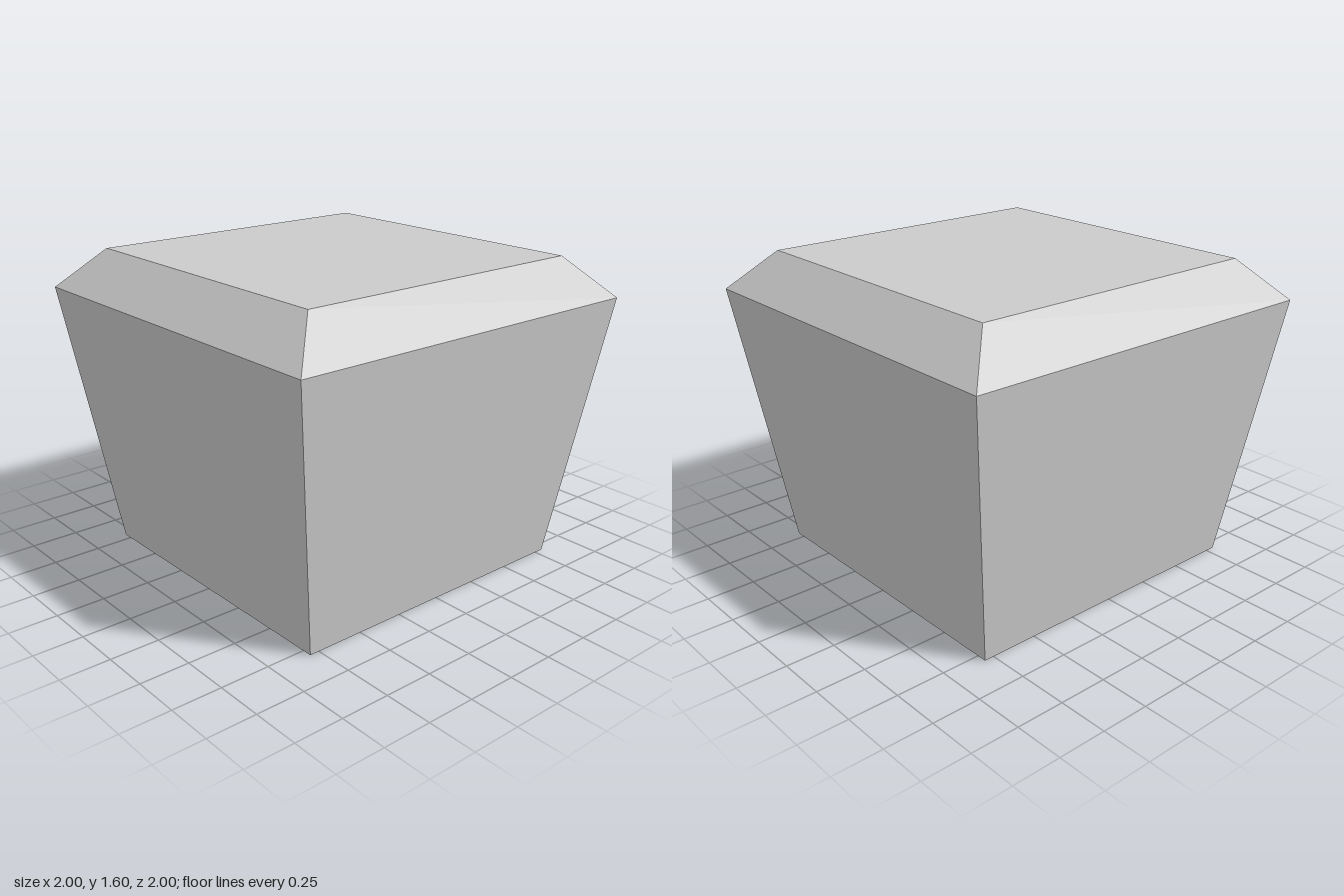
import * as THREE from 'three';

const material = new THREE.MeshStandardMaterial({ color: 0xcccccc, flatShading: true });

// Square-section solid from a profile of [half width, height] pairs, bottom to top
function squareTurned(name, profile) {
  const points = profile.map(([half, y]) => new THREE.Vector2(half * Math.SQRT2, y));
  const geometry = new THREE.LatheGeometry(points, 4, Math.PI / 4).toNonIndexed();
  geometry.computeVertexNormals();
  const mesh = new THREE.Mesh(geometry, material);
  mesh.name = name;
  return mesh;
}

export function createModel() {
  const model = new THREE.Group();
  model.name = 'taperedBlock';

  // Body: flat base, walls flaring outwards to the rim
  model.add(squareTurned('body', [[0, 0], [0.8, 0], [1, 1.39]]));

  // Top: bevel sloping in from the rim to a flat square
  model.add(squareTurned('bevelledTop', [[1, 1.39], [0.8, 1.595], [0, 1.595]]));

  return model;
}
